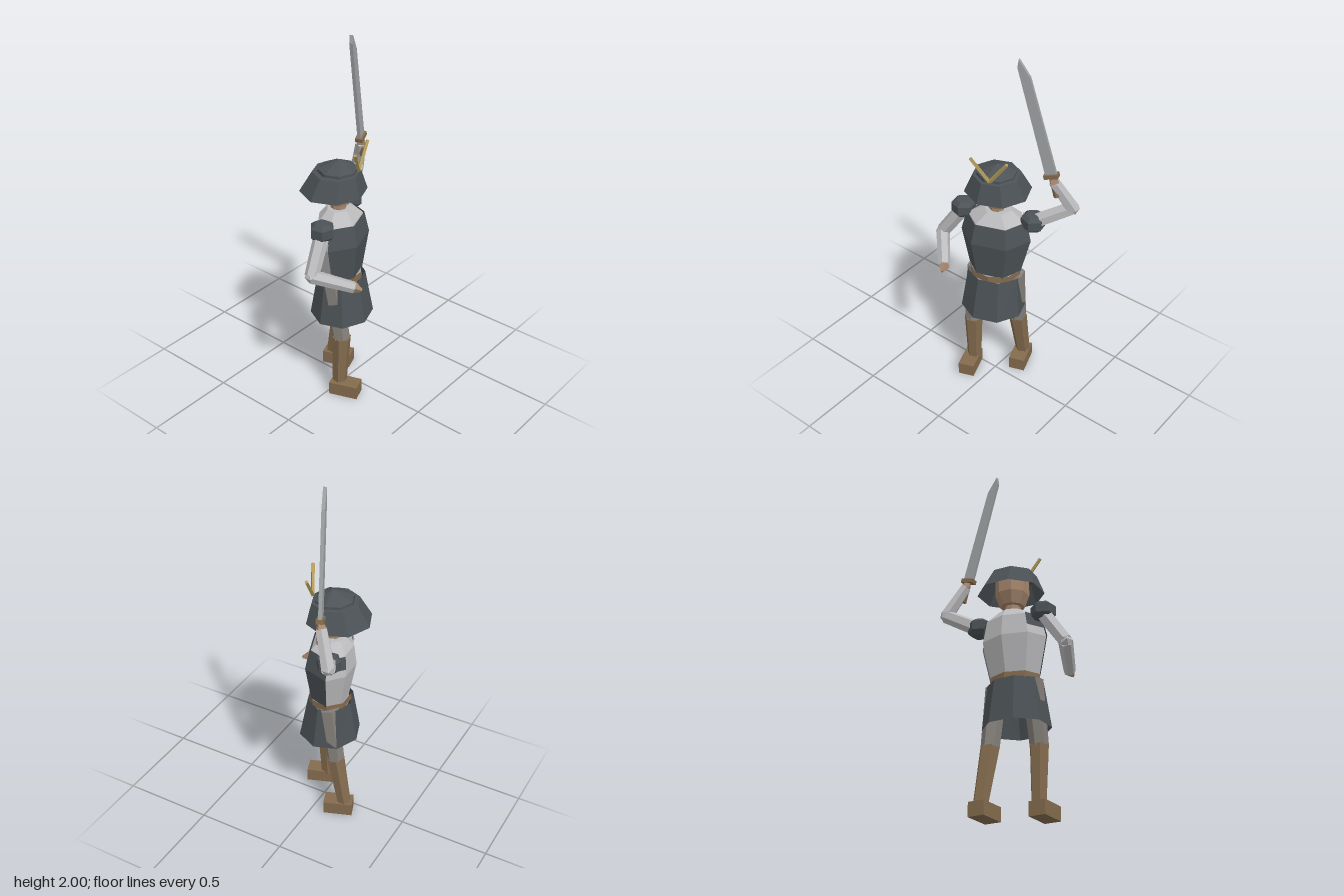
import * as THREE from 'three';

const mat = (name, color, side = THREE.FrontSide) => {
  const m = new THREE.MeshStandardMaterial({ color, side });
  m.name = name;
  return m;
};
const YAW = 0.35; // the whole stance is turned a little to its left
const V = (p) => new THREE.Vector3(...p);
const octagon = [0, 45, 90, 135, 180, 225, 270, 315];

export function createModel() {
  const armour = mat('dark armour', 0x4c5256, THREE.DoubleSide);
  const cloth = mat('pale cloth', 0xbcbcbe);
  const trousers = mat('grey trousers', 0x85807b);
  const leather = mat('brown leather', 0x846b4e);
  const skin = mat('skin', 0xa5866c);
  const gold = mat('gold', 0xb39c58);
  const steel = mat('steel', 0xa0a3a4);

  const model = new THREE.Group();
  model.name = 'warrior';

  const add = (name, geo, material) => {
    const flat = geo.index ? geo.toNonIndexed() : geo;
    flat.computeVertexNormals();
    const mesh = new THREE.Mesh(flat, material);
    mesh.name = name;
    model.add(mesh);
    return mesh;
  };

  // Skin between rings [x, y, z, halfWidth, halfDepth], listed bottom to top
  const loft = (name, material, rings, angles, yaw = 0, closed = true) => {
    const pos = [], idx = [], n = angles.length;
    for (const [cx, y, cz, a, b] of rings) {
      for (const deg of angles) {
        const t = THREE.MathUtils.degToRad(deg);
        const p = new THREE.Vector3(a * Math.sin(t), 0, b * Math.cos(t));
        p.applyAxisAngle(new THREE.Vector3(0, 1, 0), yaw);
        pos.push(cx + p.x, y, cz + p.z);
      }
    }
    for (let j = 0; j < rings.length - 1; j++) {
      for (let i = 0; i < (closed ? n : n - 1); i++) {
        const k = (i + 1) % n, lo = j * n, hi = lo + n;
        idx.push(lo + i, lo + k, hi + k, lo + i, hi + k, hi + i);
      }
    }
    const geo = new THREE.BufferGeometry();
    geo.setAttribute('position', new THREE.Float32BufferAttribute(pos, 3));
    geo.setIndex(idx);
    return add(name, geo, material);
  };

  // Tapered faceted bar from a to b
  const limb = (name, material, a, b, ra, rb, sides = 6) => {
    const from = V(a), to = V(b), dir = to.clone().sub(from);
    const mesh = add(name, new THREE.CylinderGeometry(rb, ra, dir.length(), sides), material);
    mesh.position.copy(from).add(to).multiplyScalar(0.5);
    mesh.quaternion.setFromUnitVectors(new THREE.Vector3(0, 1, 0), dir.normalize());
    return mesh;
  };

  // Legs, tall boots and feet
  const legs = [
    ['right', [-0.125, 0.7, 0.0], [-0.115, 0.36, 0.052], [-0.12, 0.06, 0.042], [-0.1175, 0.0375, 0.081]],
    ['left', [0.078, 0.7, -0.07], [0.072, 0.36, -0.112], [0.072, 0.06, -0.168], [0.08, 0.0375, -0.136]],
  ];
  for (const [side, hip, knee, ankle, foot] of legs) {
    limb(side + 'Thigh', trousers, hip, knee, 0.056, 0.048);
    limb(side + 'Boot', leather, [knee[0], knee[1] + 0.005, knee[2]], ankle, 0.052, 0.04);
    const f = add(side + 'Foot', new THREE.BoxGeometry(0.09, 0.075, 0.16), leather);
    f.position.set(...foot);
    f.rotation.y = YAW;
  }

  // Torso, with a breastplate over the front and shoulder plates behind
  const torsoAngles = [-90, -30, 30, 90, 135, 180, 225];
  const torso = [
    [-0.022, 0.72, -0.025, 0.14, 0.1],
    [-0.02, 0.93, -0.03, 0.188, 0.135],
    [-0.02, 1.045, -0.036, 0.16, 0.115],
    [-0.018, 1.1, -0.042, 0.075, 0.065],
  ];
  loft('torso', cloth, [[-0.022, 0.66, -0.025, 0.13, 0.1], ...torso,
    [-0.018, 1.1, -0.042, 0.001, 0.001]], torsoAngles, YAW);
  const shell = torso.slice(0, 3).map(([x, y, z, a, b]) => [x, y + 0.003, z, a + 0.006, b + 0.008]);
  loft('breastplate', armour, shell, [-90, -30, 30, 90], YAW, false);
  const upper = [[-0.02, 0.975, -0.032, 0.184, 0.136], shell[2]];
  for (const arc of [[90, 135], [225, 270]]) loft('backPlate', armour, upper, arc, YAW, false);

  // Belt corners show around the waist
  loft('belt', leather, [[-0.022, 0.69, -0.025, 0.143, 0.115], [-0.022, 0.73, -0.025, 0.143, 0.115]],
    octagon, YAW).material = leather;

  // Flared armour skirt, open below
  loft('skirt', armour, [
    [-0.026, 0.46, -0.02, 0.18, 0.17],
    [-0.022, 0.7, -0.025, 0.15, 0.125],
  ], octagon.map((d) => d + 22.5), YAW);

  // Shoulder pads
  const hexagon = [0, 60, 120, 180, 240, 300];
  for (const [name, x, z] of [['rightShoulderPad', -0.21, 0.005], ['leftShoulderPad', 0.162, -0.115]]) {
    const profile = [[1.005, 0.001], [1.01, 0.045], [1.03, 0.066], [1.08, 0.066], [1.1, 0.04], [1.102, 0.001]];
    loft(name, armour, profile.map(([y, r]) => [x, y, z, r, r]), hexagon, 0.2);
  }

  // Arms: right one bent across the waist, left one raising the sword
  const arms = [
    ['right', [-0.205, 1.05, 0.005], [-0.335, 0.855, 0.04], [-0.19, 0.782, 0.2], [-0.172, 0.77, 0.238]],
    ['left', [0.16, 1.05, -0.115], [0.34, 1.165, -0.21], [0.272, 1.335, -0.135], [0.258, 1.385, -0.12]],
  ];
  for (const [side, shoulder, elbow, wrist, hand] of arms) {
    limb(side + 'UpperArm', cloth, shoulder, elbow, 0.042, 0.038);
    limb(side + 'Forearm', cloth, elbow, wrist, 0.038, 0.031);
    const joint = add(side + 'Elbow', new THREE.IcosahedronGeometry(0.037, 0), cloth);
    joint.position.set(...elbow);
    limb(side + 'Hand', skin, wrist, hand, 0.032, 0.008, 4);
  }

  // Sword: slanted point, guard and grip
  const base = [0.26, 1.375, -0.125], tip = [0.105, 2.0, -0.06];
  const dir = V(tip).sub(V(base)), len = dir.length();
  const sword = new THREE.Group();
  sword.name = 'sword';
  const outline = new THREE.Shape([
    [-0.03, 0], [0.03, 0], [0.025, len - 0.1], [-0.008, len], [-0.025, len - 0.04],
  ].map(([x, y]) => new THREE.Vector2(x, y)));
  const blade = add('blade', new THREE.ExtrudeGeometry(outline, { depth: 0.018, bevelEnabled: false })
    .translate(0, 0, -0.009), steel);
  const guard = add('guard', new THREE.BoxGeometry(0.075, 0.022, 0.04), leather);
  const grip = add('grip', new THREE.CylinderGeometry(0.015, 0.018, 0.13, 6).translate(0, -0.06, 0), leather);
  sword.add(blade, guard, grip);
  sword.position.set(...base);
  sword.quaternion.setFromUnitVectors(new THREE.Vector3(0, 1, 0), dir.normalize());
  sword.rotateY(YAW);
  model.add(sword);

  // Neck and head
  limb('neck', skin, [-0.022, 1.07, -0.043], [-0.022, 1.15, -0.043], 0.042, 0.042, 8);
  loft('head', skin, [
    [-0.02, 1.13, -0.043, 0.001, 0.001],
    [-0.02, 1.135, -0.043, 0.066, 0.066],
    [-0.02, 1.2, -0.045, 0.09, 0.09],
    [-0.02, 1.29, -0.045, 0.09, 0.09],
  ], octagon);

  // Helmet: flared neck guard, then a stepped crown
  loft('neckGuard', armour, [
    [-0.035, 1.198, -0.067, 0.18, 0.176],
    [-0.03, 1.31, -0.05, 0.128, 0.127],
    [-0.027, 1.313, -0.046, 0.108, 0.106],
  ], octagon);
  loft('helmetCrown', armour, [
    [-0.025, 1.295, -0.046, 0.107, 0.105],
    [-0.025, 1.326, -0.045, 0.105, 0.103],
    [-0.02, 1.376, -0.038, 0.001, 0.001],
  ], octagon);

  // Pair of gold crest horns
  for (const [name, end] of [['rightHorn', [-0.073, 1.46, 0.108]], ['leftHorn', [0.108, 1.46, 0.043]]]) {
    limb(name, gold, [0.012, 1.33, 0.062], end, 0.011, 0.01, 4);
  }

  return model;
}
